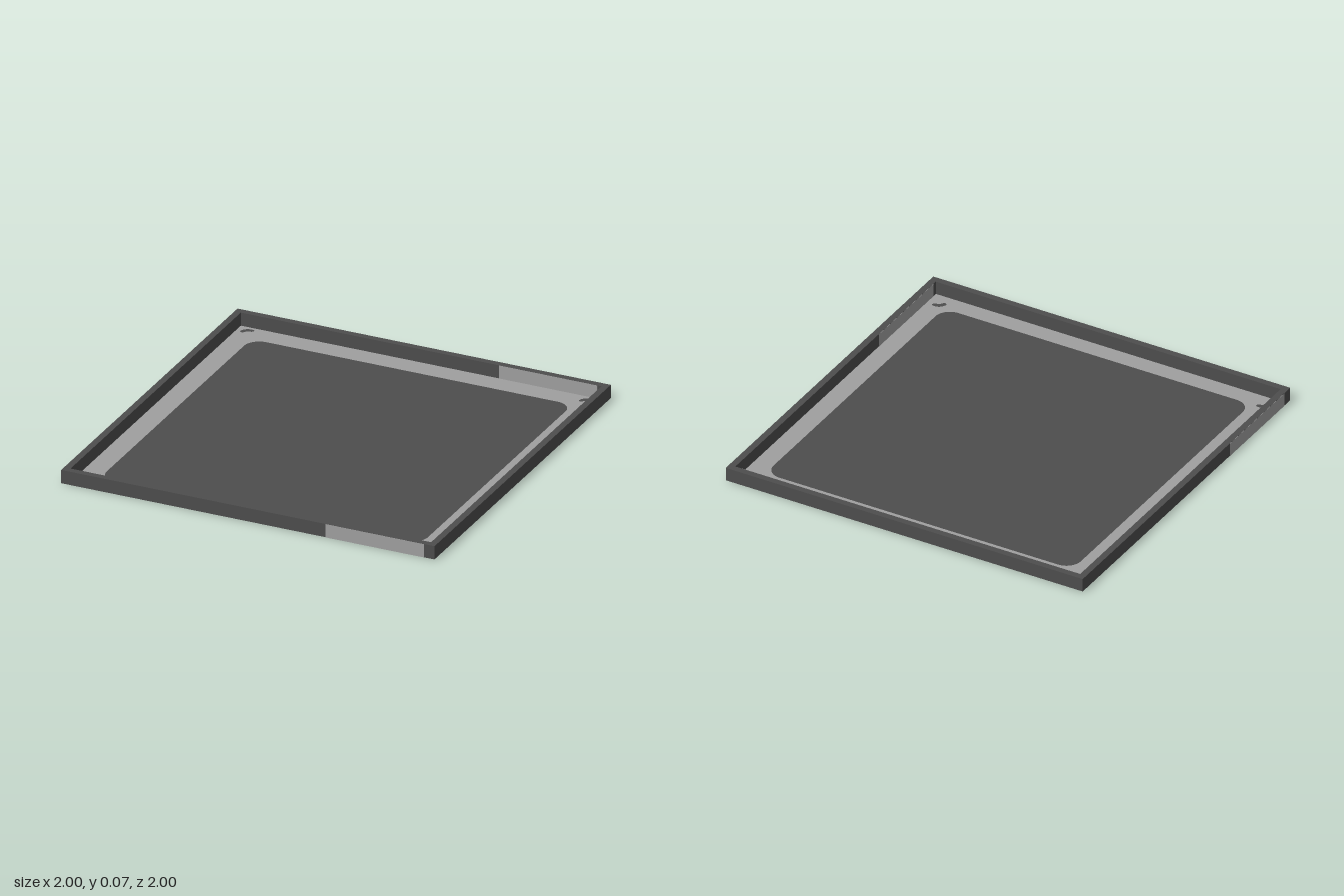
import * as THREE from 'three';

const dark = new THREE.MeshStandardMaterial({ color: 0x4d4d4d });
dark.name = 'dark grey';
const light = new THREE.MeshStandardMaterial({ color: 0x9f9f9f });
light.name = 'light grey';

const INNER = 0.965, HEIGHT = 0.072, FLOOR = 0.002, EDGE = 0.999;

// Square outline, optionally with rounded corners, in plan (shape y is -z)
function square(half, r = 0, cx = 0, cy = 0) {
  const s = new THREE.Shape();
  if (r === 0) {
    s.moveTo(-half, -half).lineTo(half, -half).lineTo(half, half).lineTo(-half, half).closePath();
    return s;
  }
  const d = half - r;
  s.absarc(cx + d, cy + d, r, 0, Math.PI / 2);
  s.absarc(cx - d, cy + d, r, Math.PI / 2, Math.PI);
  s.absarc(cx - d, cy - d, r, Math.PI, Math.PI * 1.5);
  s.absarc(cx + d, cy - d, r, Math.PI * 1.5, Math.PI * 2);
  s.closePath();
  return s;
}

// Small curved mark for a corner of the floor
function cornerMark(x, z) {
  const p = (dx, dy) => [x + dx, -z + dy];
  const s = new THREE.Shape();
  s.moveTo(...p(-0.032, -0.014));
  s.quadraticCurveTo(...p(-0.022, 0.024), ...p(0.012, 0.026));
  s.quadraticCurveTo(...p(0.034, 0.026), ...p(0.031, 0.012));
  s.quadraticCurveTo(...p(0.026, -0.001), ...p(0.01, 0.002));
  s.quadraticCurveTo(...p(-0.002, -0.004), ...p(-0.01, -0.018));
  s.quadraticCurveTo(...p(-0.02, -0.03), ...p(-0.032, -0.014));
  return s;
}

export function createModel() {
  const group = new THREE.Group();

  const add = (name, geometry, material, x = 0, y = 0, z = 0) => {
    const mesh = new THREE.Mesh(geometry, material);
    mesh.name = name;
    mesh.position.set(x, y, z);
    group.add(mesh);
  };
  const slab = (shape, depth) =>
    new THREE.ExtrudeGeometry(shape, { depth, bevelEnabled: false, curveSegments: 8 }).rotateX(-Math.PI / 2);

  // Raised frame around the edge
  const frame = square(EDGE);
  frame.holes.push(square(INNER));
  add('frame', slab(frame, HEIGHT - 0.001), dark, 0, 0.001, 0);

  // Floor: light border, dark rounded panel and four corner marks
  const panel = square(0.86, 0.08, 0.005, -0.01);
  const marks = [];
  for (const x of [-0.912, 0.902]) for (const z of [-0.922, 0.892]) marks.push(cornerMark(x, z));
  const border = square(INNER);
  border.holes.push(panel, ...marks);
  add('floorBorder', slab(border, FLOOR), light);
  add('floorPanel', slab(panel, FLOOR), dark);
  marks.forEach((m) => add('cornerMark', slab(m, FLOOR), dark));

  // Light patches on the wall faces that look forward and to -x
  const length = 0.525, mid = 0.68, thick = 0.002, tall = HEIGHT - 0.001, y = HEIGHT / 2;
  for (const z of [EDGE, -INNER]) {
    add('wallPatch', new THREE.BoxGeometry(length, tall, thick), light, mid, y, z);
  }
  for (const x of [-EDGE, INNER]) {
    add('wallPatch', new THREE.BoxGeometry(thick, tall, length), light, x, y, mid);
  }

  return group;
}
